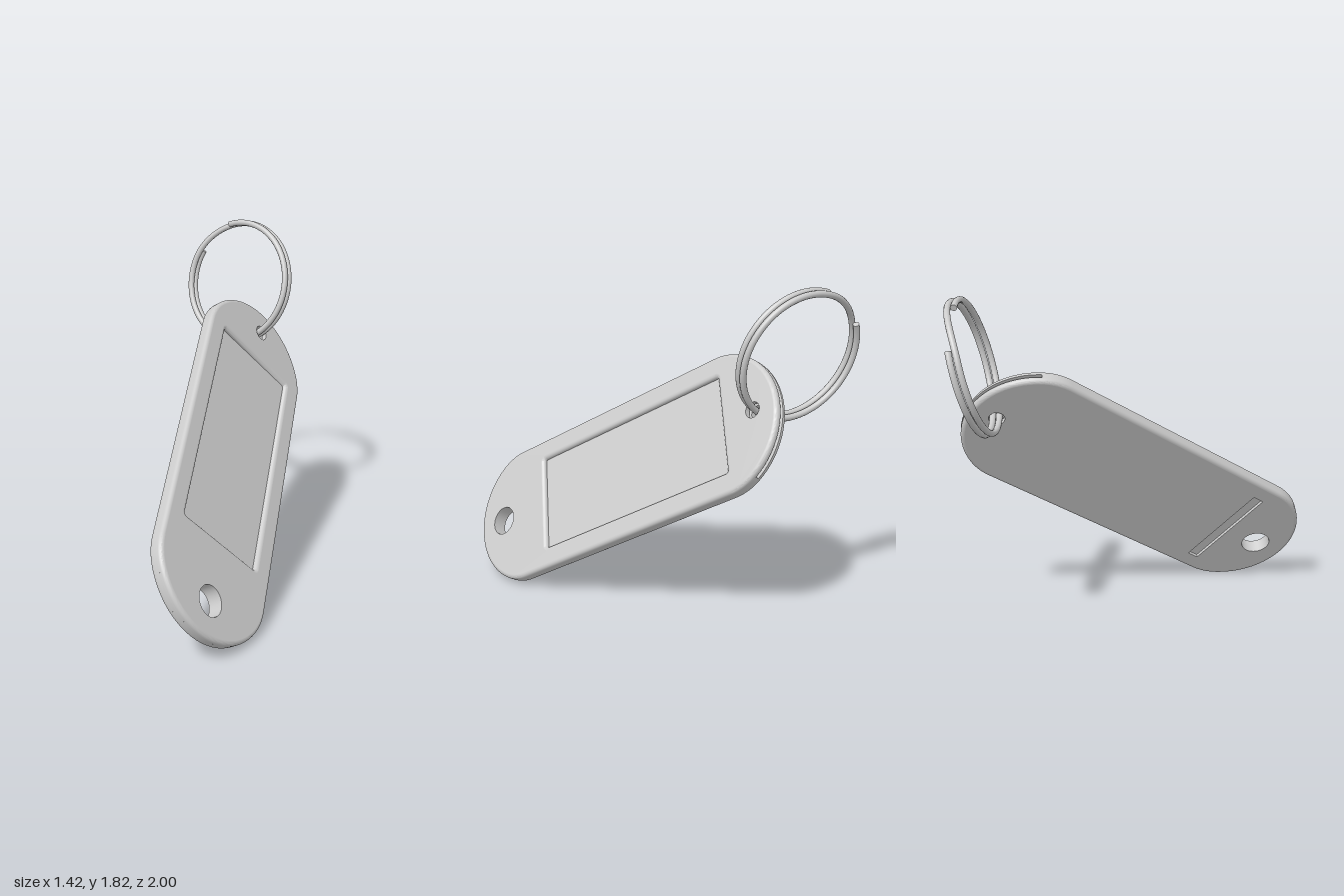
import * as THREE from 'three';
import { toCreasedNormals } from 'three/addons/utils/BufferGeometryUtils.js';

const material = new THREE.MeshStandardMaterial({ color: 0xcccccc });

// Tag measurements in its own frame: x across, y along, z through the thickness
const HALF_W = 0.395, TOP = 1.291, BOTTOM = -0.89, END_R = 0.41, CORNER_R = 0.3;
const LAYER = 0.031, CORE = 0.02, EDGE = 0.022;
const BIG_HOLE = { y: -0.698, r: 0.082 }, RING_HOLE = { y: 1.143, r: 0.043 };
const GROOVE = { y: -0.455, hx: 0.295, hy: 0.034 };

function mesh(name, geometry) {
  const m = new THREE.Mesh(geometry, material);
  m.name = name;
  return m;
}

// Straight sides, rounded corners and a wide arc at each end, from the top centre
function tagOutline() {
  const s = new THREE.Shape(), PI = Math.PI;
  const fx = HALF_W - CORNER_R;
  const dy = Math.sqrt((END_R - CORNER_R) ** 2 - fx ** 2);
  const a = Math.atan2(dy, fx), ct = TOP - END_R, cb = BOTTOM + END_R;
  s.absarc(0, ct, END_R, PI / 2, PI - a);
  s.absarc(-fx, ct + dy, CORNER_R, PI - a, PI);
  s.absarc(-fx, cb - dy, CORNER_R, PI, PI + a);
  s.absarc(0, cb, END_R, PI + a, 2 * PI - a);
  s.absarc(fx, cb - dy, CORNER_R, 2 * PI - a, 2 * PI);
  s.absarc(fx, ct + dy, CORNER_R, 0, a);
  s.absarc(0, ct, END_R, a, PI / 2);
  return s;
}

function circleHole({ y, r }) {
  return new THREE.Path().absarc(0, y, r, 0, Math.PI * 2, true);
}

function grooveHole({ y, hx, hy }) {
  const corners = [[-hx, y - hy], [-hx, y + hy], [hx, y + hy], [hx, y - hy]];
  return new THREE.Path(corners.map(c => new THREE.Vector2(...c)));
}

function windowHole(hx, y0, y1, r) {
  const q = Math.PI / 2;
  return new THREE.Path()
    .absarc(hx - r, y1 - r, r, 0, q)
    .absarc(r - hx, y1 - r, r, q, 2 * q)
    .absarc(r - hx, y0 + r, r, 2 * q, 3 * q)
    .absarc(hx - r, y0 + r, r, 3 * q, 4 * q);
}

// One outer layer: flat on z = 0, rounded edge on the outside, straight-walled holes
function shell(opening, straightGroove) {
  const shape = tagOutline();
  shape.holes.push(circleHole(BIG_HOLE), circleHole(RING_HOLE), opening);
  const g = new THREE.ExtrudeGeometry(shape, {
    depth: LAYER - EDGE, curveSegments: 16, bevelEnabled: true,
    bevelThickness: EDGE, bevelSize: EDGE, bevelOffset: -EDGE, bevelSegments: 5,
  });
  const p = g.attributes.position;
  for (let i = 0; i < p.count; i++) {
    let x = p.getX(i), y = p.getY(i);
    for (const h of [BIG_HOLE, RING_HOLE]) {
      const d = Math.hypot(x, y - h.y);
      if (d < h.r + EDGE + 0.005) {
        x *= h.r / d;
        y = h.y + (y - h.y) * h.r / d;
      }
    }
    if (straightGroove && Math.abs(x) < GROOVE.hx + 0.03 && Math.abs(y - GROOVE.y) < GROOVE.hy + 0.03) {
      x = Math.sign(x) * GROOVE.hx;
      y = GROOVE.y + Math.sign(y - GROOVE.y) * GROOVE.hy;
    }
    p.setXYZ(i, x, y, Math.max(0, p.getZ(i)));
  }
  return flattenFace(toCreasedNormals(g, 0.6));
}

// Keep the broad face evenly lit right up to the rounded edge
function flattenFace(g) {
  const p = g.attributes.position, n = g.attributes.normal;
  for (let i = 0; i < p.count; i += 3) {
    const tri = [i, i + 1, i + 2];
    if (tri.every(k => p.getZ(k) > LAYER - 1e-5)) tri.forEach(k => n.setXYZ(k, 0, 0, 1));
  }
  return g;
}

// Middle layer with a pocket open at the top end
function core() {
  const hx = 0.345, pocketBottom = -0.37;
  const pts = tagOutline().getPoints(20).filter(p => p.y < 0 || Math.abs(p.x) > hx);
  pts.push(new THREE.Vector2(hx, pocketBottom), new THREE.Vector2(-hx, pocketBottom));
  const shape = new THREE.Shape(pts);
  shape.holes.push(circleHole(BIG_HOLE));
  const g = new THREE.ExtrudeGeometry(shape, { depth: CORE, bevelEnabled: false, curveSegments: 16 });
  g.translate(0, 0, -CORE / 2);
  return toCreasedNormals(g, 0.6);
}

function buildTag() {
  const tag = new THREE.Group();
  tag.name = 'tag';

  const front = mesh('frontFrame', shell(windowHole(0.275, -0.352, 0.946, 0.014), false));
  front.position.z = CORE / 2;

  const back = mesh('backPlate', shell(grooveHole(GROOVE), true));
  back.rotation.y = Math.PI;
  back.position.z = -CORE / 2;

  const label = mesh('labelCard', new THREE.BoxGeometry(0.62, 1.36, 0.024));
  label.position.set(0, 0.31, 0.005);

  // Shallow floor of the groove on the back
  const floor = mesh('grooveFloor', new THREE.BoxGeometry(2 * GROOVE.hx + 0.02, 2 * GROOVE.hy + 0.02, 0.03));
  floor.position.set(0, GROOVE.y, -0.008);

  tag.add(front, mesh('pocketCore', core()), back, label, floor);

  // Tilt the tag
  const h = Math.SQRT1_2;
  const across = new THREE.Vector3(h, -h, 0);
  const along = new THREE.Vector3(0.5, 0.5, -h);
  const normal = new THREE.Vector3(0.5, 0.5, h);
  tag.quaternion.setFromRotationMatrix(new THREE.Matrix4().makeBasis(across, along, normal));
  tag.position.addScaledVector(across, -0.5).addScaledVector(normal, 0.498);
  return tag;
}

// Double-coil ring wire that steps from one coil to the other between its two ends
class SplitRingCurve extends THREE.Curve {
  constructor(radius, offset) {
    super();
    this.radius = radius;
    this.offset = offset;
  }
  getPoint(t, target = new THREE.Vector3()) {
    const deg = 65 + 675 * t, a = THREE.MathUtils.degToRad(deg);
    const step = THREE.MathUtils.smoothstep(deg, 370, 435);
    return target.set(this.radius * Math.cos(a), this.radius * Math.sin(a), this.offset * (2 * step - 1));
  }
}

function buildRing() {
  const ring = new THREE.Group();
  ring.name = 'splitRing';
  const wire = 0.017;
  const curve = new SplitRingCurve(0.346, 0.0185);
  ring.add(mesh('ringWire', new THREE.TubeGeometry(curve, 220, wire, 12)));
  for (const [t, dir] of [[0, -1], [1, 1]]) {
    const cap = mesh('wireEnd', new THREE.CircleGeometry(wire, 12));
    cap.position.copy(curve.getPoint(t));
    cap.quaternion.setFromUnitVectors(new THREE.Vector3(0, 0, 1), curve.getTangent(t).multiplyScalar(dir));
    ring.add(cap);
  }

  // Ring frame: x toward its highest point, y toward the rear, z along the axis
  const axis = new THREE.Vector3(-0.867, 0.25, 0.42).normalize();
  const high = new THREE.Vector3(0, 1, 0).projectOnPlane(axis).normalize();
  const rear = new THREE.Vector3().crossVectors(axis, high);
  ring.quaternion.setFromRotationMatrix(new THREE.Matrix4().makeBasis(high, rear, axis));
  ring.position.set(0.451, 1.457, -0.662);
  return ring;
}

export function createModel() {
  const model = new THREE.Group();
  model.name = 'keyTag';
  model.add(buildTag(), buildRing());
  return model;
}
